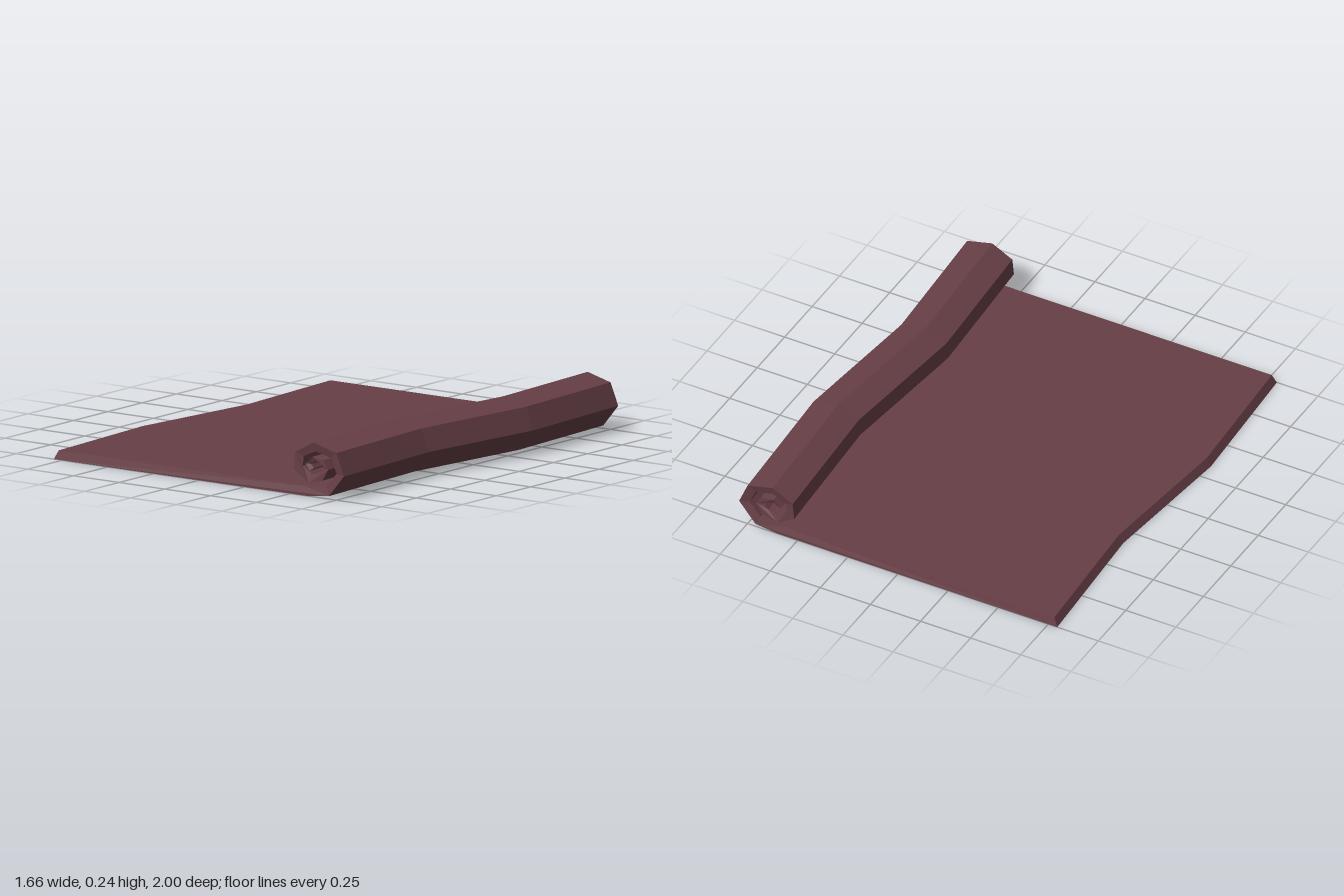
import * as THREE from 'three';

// Cross-section of the mat: underside/outside of the coil, then its upper/inside face
const outer = [
  [-0.795, 0], [0.6, 0], [0.71, 0.013], [0.792, 0.11], [0.75, 0.21], [0.625, 0.242],
  [0.525, 0.19], [0.517, 0.112], [0.6, 0.06], [0.675, 0.078], [0.706, 0.13],
  [0.68, 0.17], [0.62, 0.178], [0.583, 0.145], [0.605, 0.115],
];
const inner = [
  [-0.775, 0.04], [0.57, 0.04], [0.69, 0.053], [0.745, 0.115], [0.715, 0.182], [0.63, 0.202],
  [0.565, 0.172], [0.56, 0.13], [0.61, 0.098], [0.652, 0.108], [0.672, 0.133],
  [0.658, 0.15], [0.625, 0.156], [0.606, 0.143], [0.62, 0.125],
];

// Sideways wave along the length of the mat
function sway(z) {
  if (Math.abs(z) > 0.9) return 0;
  return z < 0 ? 0.036 : -0.036;
}

export function createModel() {
  const group = new THREE.Group();
  group.name = 'partlyRolledMat';

  const points = [...outer, ...[...inner].reverse()].map(([x, y]) => new THREE.Vector2(x, y));
  const geometry = new THREE.ExtrudeGeometry(new THREE.Shape(points), {
    depth: 2, steps: 3, bevelEnabled: false,
  });
  geometry.translate(0, 0, -1);

  // Sway the strips and draw the inner face in slightly at both ends
  const pos = geometry.attributes.position;
  for (let i = 0; i < pos.count; i++) {
    const x = pos.getX(i), y = pos.getY(i), z = pos.getZ(i);
    const isInner = inner.some(([a, b]) => Math.hypot(a - x, b - y) < 1e-4);
    pos.setX(i, x + sway(z));
    if (isInner && Math.abs(z) > 0.9) pos.setZ(i, z * 0.99);
  }
  geometry.computeVertexNormals();

  const mat = new THREE.Mesh(geometry, new THREE.MeshStandardMaterial({
    color: 0x673f46, flatShading: true,
  }));
  mat.name = 'rolledMat';
  group.add(mat);
  return group;
}
